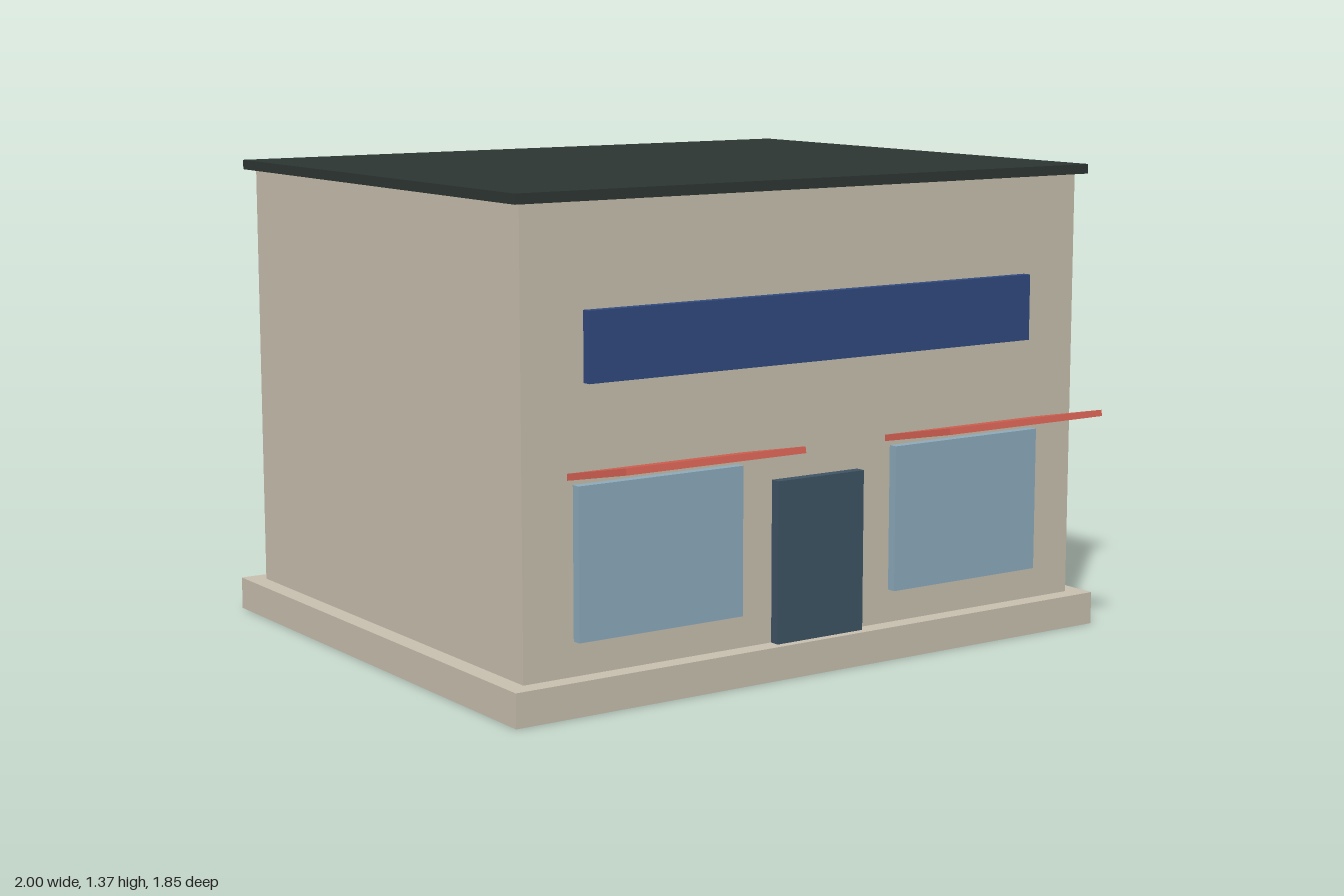
import * as THREE from 'three';

const material = (name, color) => {
  const m = new THREE.MeshStandardMaterial({ color });
  m.name = name;
  return m;
};

export function createModel() {
  const shop = new THREE.Group();
  shop.name = 'shop';

  const stone = material('beige stone', 0xc9c1b0);
  const slate = material('dark slate', 0x2d3634);
  const blue = material('sign blue', 0x314a80);
  const glass = material('window glass', 0x8eacbd);
  const doorPaint = material('door blue grey', 0x3f5465);
  const red = material('awning red', 0xd66253);

  // Box given by its [min, max] extents on each axis
  const block = (name, mat, [x0, x1], [y0, y1], [z0, z1]) => {
    const mesh = new THREE.Mesh(new THREE.BoxGeometry(x1 - x0, y1 - y0, z1 - z0), mat);
    mesh.name = name;
    mesh.position.set((x0 + x1) / 2, (y0 + y1) / 2, (z0 + z1) / 2);
    shop.add(mesh);
    return mesh;
  };

  // Building shell
  block('plinth', stone, [-1, 1], [0, 0.095], [-0.923, 0.697]);
  block('walls', stone, [-0.945, 0.945], [0.095, 1.342], [-0.867, 0.643]);
  block('roof', slate, [-0.972, 0.972], [1.342, 1.37], [-0.898, 0.67]);

  // Shopfront
  block('signBoard', blue, [-0.755, 0.755], [0.87, 1.06], [0.64, 0.67]);
  block('door', doorPaint, [-0.148, 0.148], [0.095, 0.551], [0.64, 0.673]);

  // Windows with awnings that rise towards the street
  for (const [side, s] of [['left', 1], ['right', -1]]) {
    const x = s * 0.527;
    block(side + 'Window', glass, [x - 0.263, x + 0.263], [0.19, 0.606], [0.64, 0.67]);
    const awning = block(side + 'Awning', red, [x - 0.281, x + 0.281], [0.646, 0.664], [0.626, 0.926]);
    awning.rotation.x = -0.2;
  }

  return shop;
}
